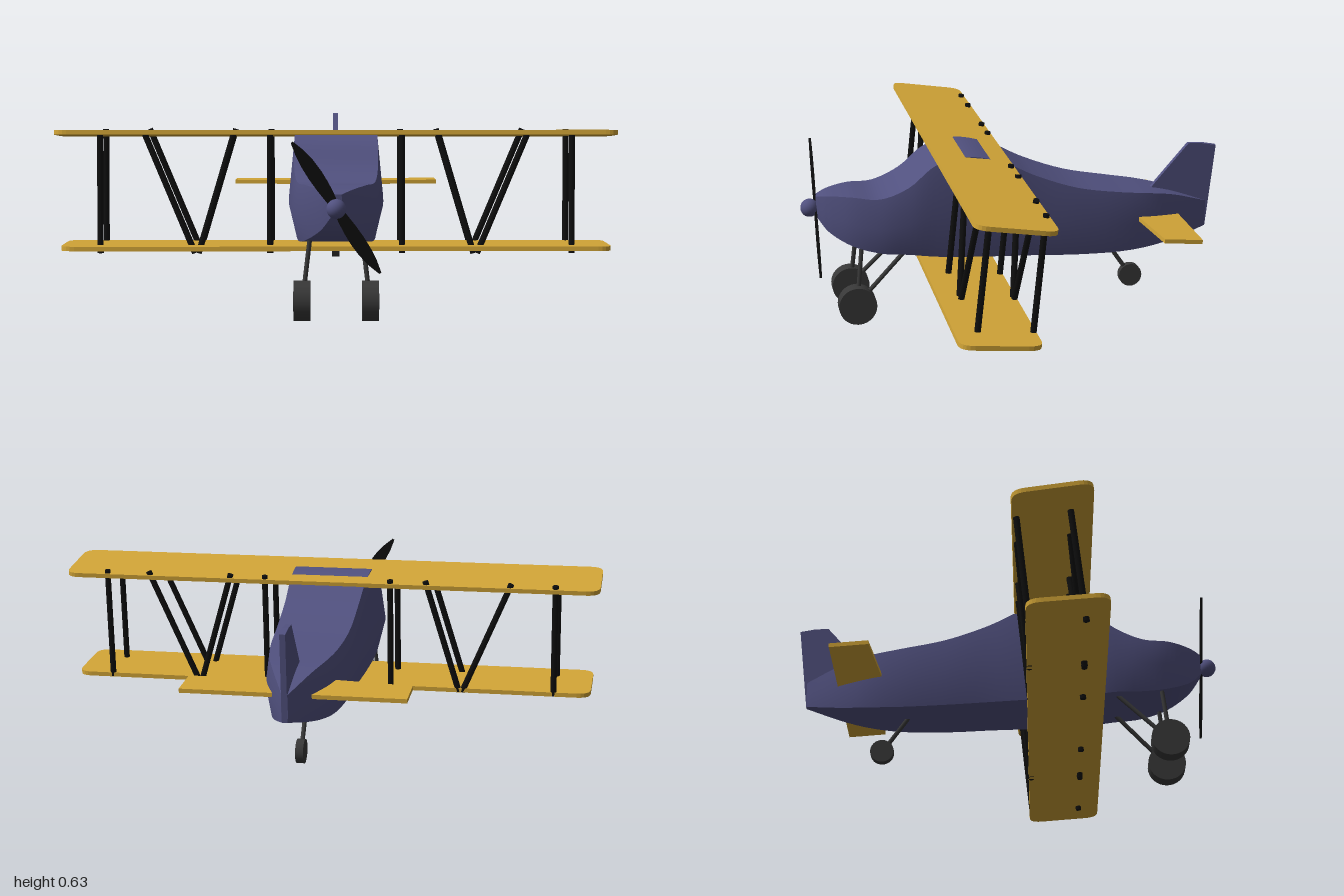
import * as THREE from 'three';
import { toCreasedNormals } from 'three/addons/utils/BufferGeometryUtils.js';

const V = (x, y, z) => new THREE.Vector3(x, y, z);

export function createModel() {
  const plane = new THREE.Group();
  plane.name = 'biplane';

  const mat = (name, color) => {
    const m = new THREE.MeshStandardMaterial({ color });
    m.name = name;
    return m;
  };
  const blue = mat('body blue', 0x51517f);
  const yellow = mat('wing yellow', 0xd2a537);
  const black = mat('strut black', 0x0e0e0e);
  const grey = mat('gear grey', 0x383838);

  const add = (name, geometry, material, parent = plane) => {
    const mesh = new THREE.Mesh(geometry, material);
    mesh.name = name;
    parent.add(mesh);
    return mesh;
  };

  // Round bar between two points
  const bar = (name, a, b, r, material) => {
    const dir = b.clone().sub(a);
    const mesh = add(name, new THREE.CylinderGeometry(r, r, dir.length(), 12), material);
    mesh.position.copy(a).addScaledVector(dir, 0.5);
    mesh.quaternion.setFromUnitVectors(V(0, 1, 0), dir.normalize());
    return mesh;
  };

  const plate = (shape, t) =>
    new THREE.ExtrudeGeometry(shape, { depth: t, bevelEnabled: false, curveSegments: 6 }).translate(0, 0, -t / 2);
  const polygon = (pts) => new THREE.Shape(pts.map((p) => new THREE.Vector2(...p)));

  // Fuselage: six-sided sections swept along smooth rails [z, top, bottom, half width]
  const stations = [
    [0.72, 0.455, 0.38, 0.02], [0.68, 0.465, 0.33, 0.06], [0.6, 0.47, 0.285, 0.115],
    [0.5, 0.466, 0.26, 0.15], [0.4, 0.506, 0.253, 0.164], [0.3, 0.585, 0.24, 0.165],
    [0.185, 0.61, 0.232, 0.163], [0.05, 0.58, 0.225, 0.158], [-0.06, 0.527, 0.22, 0.153],
    [-0.22, 0.47, 0.212, 0.149], [-0.39, 0.44, 0.21, 0.136], [-0.5, 0.425, 0.217, 0.115],
    [-0.6, 0.405, 0.23, 0.078], [-0.74, 0.357, 0.26, 0.012],
  ];
  const rail = (fn) => new THREE.CatmullRomCurve3(stations.map((s) => V(...fn(s))), false, 'centripetal');
  const rails = [
    rail(([z, t, , w]) => [w * 0.89, t, z]),
    rail(([z, t, b, w]) => [w, b + (t - b) * 0.48, z]),
    rail(([z, , b, w]) => [w * 0.83, b, z]),
  ];
  const steps = 65, pos = [], idx = [];
  for (let i = 0; i <= steps; i++) {
    const [t, m, b] = rails.map((r) => r.getPoint(i / steps));
    for (const [p, s] of [[t, 1], [t, -1], [m, -1], [b, -1], [b, 1], [m, 1]]) pos.push(p.x * s, p.y, p.z);
  }
  for (let i = 0; i < steps; i++) {
    for (let j = 0; j < 6; j++) {
      const a = i * 6 + j, b = i * 6 + ((j + 1) % 6), c = b + 6, d = a + 6;
      idx.push(a, d, c, a, c, b);
    }
  }
  const last = steps * 6;
  for (let j = 1; j < 5; j++) idx.push(0, j, j + 1, last, last + j + 1, last + j);
  const hull = new THREE.BufferGeometry();
  hull.setAttribute('position', new THREE.Float32BufferAttribute(pos, 3));
  hull.setIndex(idx);
  add('fuselage', toCreasedNormals(hull, 0.55), blue);

  // Tail fin and rudder
  const fin = polygon([[0.5, 0.33], [0.74, 0.26], [0.775, 0.57], [0.72, 0.58], [0.67, 0.582], [0.515, 0.403]]);
  add('tailFin', plate(fin, 0.02).rotateY(Math.PI / 2), blue);

  // Tailplane
  const tail = polygon([
    [-0.395, 0.62], [0.395, 0.62], [0.395, 0.48], [0.13, 0.455], [-0.13, 0.455], [-0.395, 0.48],
  ].map(([x, s]) => [x, s - 0.54]).reverse());
  const tailplane = add('tailplane', plate(tail, 0.015).rotateX(-Math.PI / 2), yellow);
  tailplane.position.set(0, 0.328, -0.54);
  tailplane.rotation.x = -0.08;

  // Wings with rounded corners, pitched nose-up
  const wing = (name, half, chord, y, z, pitch) => {
    const r = 0.05, h = chord / 2, s = new THREE.Shape();
    s.moveTo(-half + r, -h);
    s.lineTo(half - r, -h);
    s.quadraticCurveTo(half, -h, half, -h + r);
    s.lineTo(half, h - r);
    s.quadraticCurveTo(half, h, half - r, h);
    s.lineTo(-half + r, h);
    s.quadraticCurveTo(-half, h, -half, h - r);
    s.lineTo(-half, -h + r);
    s.quadraticCurveTo(-half, -h, -half + r, -h);
    const mesh = add(name, plate(s, 0.016).rotateX(-Math.PI / 2), yellow);
    mesh.position.set(0, y, z);
    mesh.rotation.x = -pitch;
  };
  wing('upperWing', 1, 0.278, 0.598, 0.169, 0.14);
  wing('lowerWing', 0.975, 0.278, 0.197, 0.216, 0.08);

  // Wing struts: front and rear rows, two uprights and a V per side
  for (const side of [1, -1]) {
    for (const [zTop, zBottom] of [[0.231, 0.277], [0.045, 0.088]]) {
      for (const [xTop, xBottom] of [[0.84, 0.84], [0.235, 0.235], [0.365, 0.49], [0.68, 0.503]]) {
        bar('wingStrut', V(side * xTop, 0.6, zTop), V(side * xBottom, 0.18, zBottom), 0.011, black);
      }
    }
  }

  // Landing gear
  const wheel = (name, x, y, z, r, width) => {
    const mesh = add(name, new THREE.CylinderGeometry(r, r, width, 32).rotateZ(Math.PI / 2), grey);
    mesh.position.set(x, y, z);
  };
  for (const side of [1, -1]) {
    wheel('mainWheel', side * 0.117, 0.07, 0.59, 0.069, 0.057);
    bar('frontGearLeg', V(side * 0.09, 0.28, 0.567), V(side * 0.115, 0.07, 0.59), 0.008, grey);
    bar('rearGearLeg', V(side * 0.09, 0.265, 0.4), V(side * 0.115, 0.07, 0.59), 0.008, grey);
  }
  wheel('tailWheel', 0, 0.08, -0.455, 0.043, 0.028);
  bar('tailWheelLeg', V(0, 0.225, -0.355), V(0, 0.08, -0.455), 0.008, grey);

  // Propeller: two leaf-shaped blades and a round hub
  const propeller = new THREE.Group();
  propeller.name = 'propeller';
  propeller.position.set(0, 0.41, 0.722);
  propeller.rotation.z = 0.59;
  plane.add(propeller);
  const leaf = new THREE.Shape();
  leaf.moveTo(-0.012, 0);
  leaf.bezierCurveTo(-0.022, 0.08, -0.03, 0.18, -0.004, 0.264);
  leaf.lineTo(0.004, 0.264);
  leaf.bezierCurveTo(0.038, 0.18, 0.03, 0.08, 0.012, 0);
  for (const turn of [0, Math.PI]) {
    add('propellerBlade', plate(leaf, 0.008), black, propeller).rotation.z = turn;
  }
  const hub = add('propellerHub', new THREE.SphereGeometry(0.033, 24, 16), blue);
  hub.position.set(0, 0.41, 0.743);

  return plane;
}
